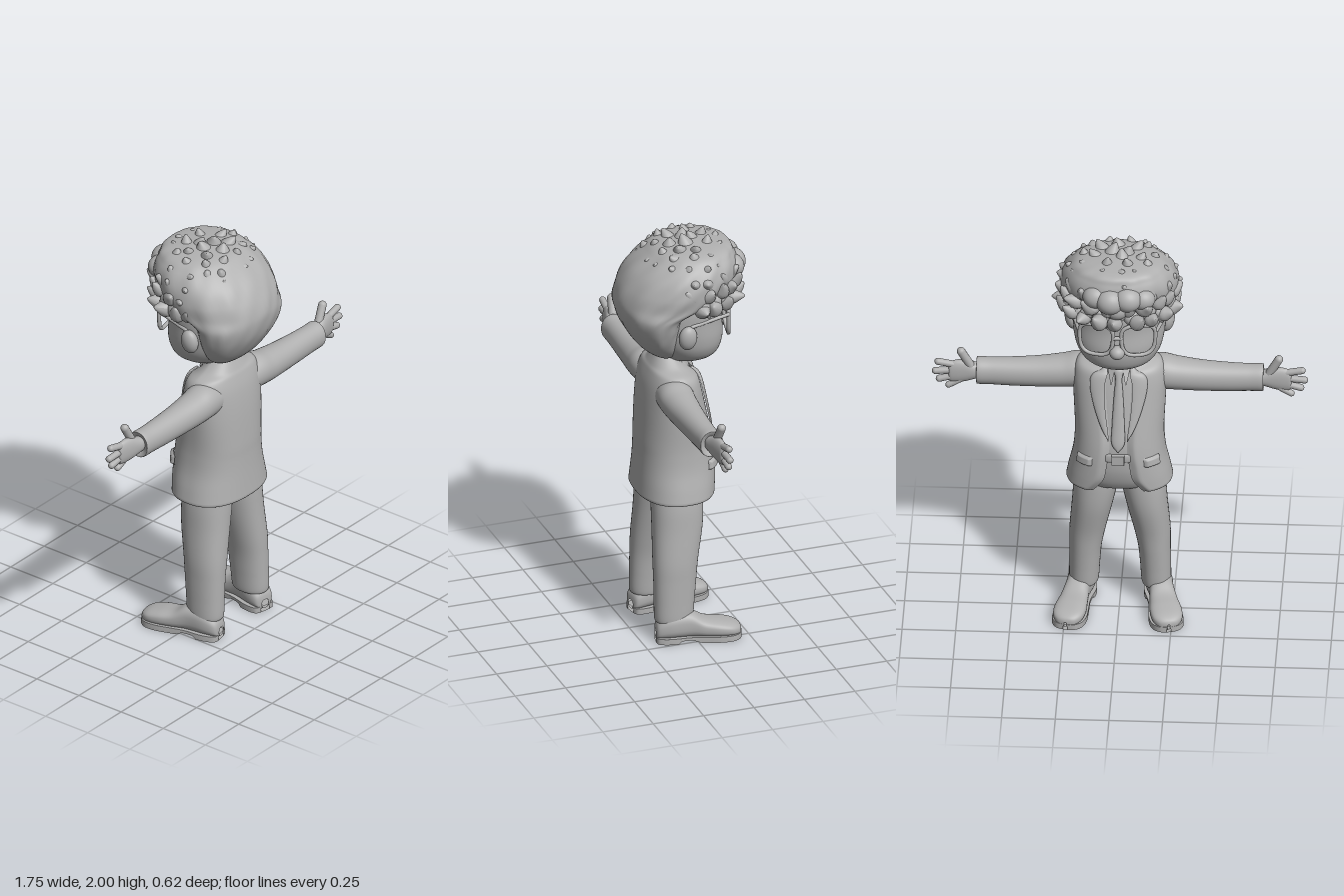
import * as THREE from 'three';

const grey = new THREE.MeshStandardMaterial({ color: 0xb0b0b0, side: THREE.DoubleSide });
grey.name = 'clay grey';

// smooth interpolation through rows of numbers, t in 0..1
function sample(rows, t) {
  const f = THREE.MathUtils.clamp(t, 0, 1) * (rows.length - 1);
  const i = Math.min(Math.floor(f), rows.length - 2), k = f - i;
  const a = rows[Math.max(i - 1, 0)], b = rows[i], c = rows[i + 1], d = rows[Math.min(i + 2, rows.length - 1)];
  return b.map((_, n) => b[n] + 0.5 * k * (c[n] - a[n] + k * (2 * a[n] - 5 * b[n] + 4 * c[n] - d[n] + k * (3 * (b[n] - c[n]) + d[n] - a[n]))));
}
// surface from a point rule; closed surfaces join in u
function grid(fn, nu, nv, closed = true, flip = false) {
  const pos = [], idx = [], w = closed ? nu : nu + 1;
  for (let j = 0; j <= nv; j++) for (let i = 0; i < w; i++) pos.push(...fn(i / nu, j / nv));
  for (let j = 0; j < nv; j++) for (let i = 0; i < nu; i++) {
    const a = j * w + i, b = j * w + (i + 1) % w, c = a + w, d = b + w;
    flip ? idx.push(a, c, b, b, c, d) : idx.push(a, b, c, b, d, c);
  }
  const g = new THREE.BufferGeometry();
  g.setAttribute('position', new THREE.Float32BufferAttribute(pos, 3));
  g.setIndex(idx);
  g.computeVertexNormals();
  return g;
}
const sp = (v, e) => Math.sign(v) * Math.abs(v) ** e;
const sm = THREE.MathUtils.smoothstep;

// upright body from rows [y, halfWidth, zFront, zBack]
function body(rows, nv = 40, e = 0.9, bump = () => 0) {
  return grid((u, v) => {
    const [y, w, f, b] = sample(rows, v), a = u * Math.PI * 2, k = 1 + bump(a, y);
    return [w * k * sp(Math.sin(a), e), y, (f + b) / 2 - (b - f) / 2 * k * sp(Math.cos(a), e)];
  }, 64, nv, true, rows[0][0] > rows[1][0]);
}

// jacket rows: y, halfWidth, zFront, zBack, half opening
const coat = [[1.41, .07, 0, .125, .05], [1.36, .13, -.045, .15, .05], [1.33, .195, -.06, .165, .055],
  [1.26, .217, -.075, .185, .065], [1.15, .215, -.1, .2, .062], [1.0, .208, -.132, .21, .045],
  [.92, .21, -.145, .212, .047], [.85, .218, -.15, .215, .058], [.77, .236, -.148, .22, .075], [.7, .25, -.142, .225, .13]];
const coatEdge = v => { const r = sample(coat, v); return Math.asin(Math.min(.95, (r[4] / r[1]) ** (1 / .85))); };
function coatPoint(a, v, off = 0) {
  const [y, w, f, b] = sample(coat, v), c = Math.cos(a);
  return [(w + off) * sp(Math.sin(a), .85), y - .05 * Math.max(0, c) * sm(y, 1.25, 1.41),
    (f + b) / 2 - ((b - f) / 2 + off) * sp(c, .85)];
}

export function createModel() {
  const model = new THREE.Group();
  model.name = 'boyInSuit';
  const add = (geo, name, parent = model) => {
    const m = new THREE.Mesh(geo, grey);
    m.name = name;
    parent.add(m);
    return m;
  };
  const limb = (a, b, r, name) => {
    const A = new THREE.Vector3(...a), B = new THREE.Vector3(...b), d = B.clone().sub(A);
    const m = add(new THREE.CapsuleGeometry(r, d.length(), 6, 14), name);
    m.position.copy(A).add(B).multiplyScalar(.5);
    m.quaternion.setFromUnitVectors(new THREE.Vector3(0, 1, 0), d.normalize());
  };
  const ball = (p, s, name) => {
    const m = add(new THREE.SphereGeometry(1, 28, 20), name);
    m.position.set(...p);
    m.scale.set(...s);
    return m;
  };

  // jacket with an open front and turned-in edges
  add(grid((u, v) => {
    const a0 = coatEdge(v), curl = Math.max(1 - sm(Math.min(u, 1 - u), 0, .025), sm(v, .98, 1));
    return coatPoint(a0 + u * (2 * Math.PI - 2 * a0), v, -.022 * curl);
  }, 110, 70, false, true), 'jacket');

  // shirt, trouser seat, belt
  add(body([[1.39, .06, 0, .11], [1.34, .12, -.025, .14], [1.25, .19, -.055, .165], [1.1, .19, -.09, .18],
    [.95, .185, -.12, .19], [.86, .19, -.122, .19]]), 'shirt');
  add(body([[.9, .185, -.122, .185], [.8, .2, -.115, .19], [.72, .205, -.09, .185], [.68, .16, -.05, .15], [.665, 0, .05, .06]]), 'trouserSeat');
  add(body([[.91, .18, -.12, .18], [.908, .188, -.133, .188], [.872, .188, -.133, .188], [.87, .18, -.12, .18]], 12), 'belt');
  const buckle = add(new THREE.BoxGeometry(.06, .048, .02), 'beltBuckle');
  buckle.position.set(0, .89, -.14);

  // necktie hanging over the shirt
  const tie = [[1.335, .012, -.045], [1.325, .024, -.055], [1.285, .016, -.066], [1.2, .022, -.085],
    [1.05, .03, -.117], [.97, .03, -.134], [.93, .003, -.136]];
  add(grid((u, v) => {
    const [y, w, z] = sample(tie, v), a = u * Math.PI * 2;
    return [w * Math.sin(a), y, z + .008 - .014 * Math.cos(a)];
  }, 20, 40, true, true), 'necktie');

  // neck and stand collar
  add(body([[1.28, .08, -.03, .12], [1.36, .07, -.03, .1], [1.45, .075, -.03, .1]], 10), 'neck');
  add(grid((u, v) => {
    const a = .35 + u * (Math.PI * 2 - .7), r = .078 + .016 * v, c = Math.cos(a);
    return [r * Math.sin(a), 1.385 - .06 * v - .03 * c, .043 - (r - .002) * c];
  }, 40, 6, false, true), 'shirtCollar');

  for (const s of [1, -1]) {
    const side = s > 0 ? 'left' : 'right';
    const rings = (rows, axis, nv, e, name) => add(grid((u, v) => {
      const [t, p, q, rp, rq] = sample(rows, v), a = u * Math.PI * 2, P = p + rp * sp(Math.sin(a), e), Q = q + rq * sp(Math.cos(a), e);
      return axis === 'x' ? [s * t, P, Q] : [s * P, t, Q];
    }, 40, nv, true, axis === 'x' ? s > 0 : s > 0), name);

    // lapel, collar point and pocket flap lie on the jacket and shirt
    add(grid((u, v) => {
      const t = .08 + v * .48, w = .36 * Math.sin(Math.PI * Math.min(1, .12 + v * .9)) ** .7 + .02;
      const a = coatEdge(t) - .02 + u * w;
      return coatPoint(s * a, t, .004 + .012 * Math.sin(Math.PI * Math.min(1, u * .9 + .1)) ** .4);
    }, 12, 30, false, s < 0), side + 'Lapel');
    add(grid((u, v) => {
      const w = .045 * (1 - v) + .004;
      return [s * (.012 + .02 * v + u * w), 1.365 - .1 * v, -.04 - .04 * v + u * .025 * (1 - v)];
    }, 6, 10, false, s < 0), side + 'CollarPoint');
    add(grid((u, v) => {
      const lift = .004 + .012 * sm(Math.min(u, 1 - u), 0, .12) * sm(v, 0, .2);
      return coatPoint(s * (.52 + u * .5), .705 + v * .075, lift - .008 * sm(v, .9, 1));
    }, 16, 10, false, s < 0), side + 'PocketFlap');

    // sleeve with turned cuff, then the hand
    rings([[.1, 1.24, .09, .07, .075], [.19, 1.247, .09, .083, .085], [.27, 1.237, .09, .078, .08], [.38, 1.228, .088, .073, .07],
      [.5, 1.224, .087, .069, .062], [.6, 1.224, .087, .066, .057], [.66, 1.225, .087, .066, .057], [.667, 1.225, .087, .058, .05],
      [.65, 1.225, .087, .03, .025]], 'x', 60, .95, side + 'Sleeve');
    rings([[.63, 1.225, .085, .034, .03], [.67, 1.226, .083, .04, .033], [.72, 1.228, .078, .057, .029],
      [.77, 1.225, .073, .058, .023], [.795, 1.222, .071, .045, .017], [.8, 1.222, .071, .001, .001]], 'x', 28, .9, side + 'Palm');
    limb([s * .69, 1.245, .075], [s * .74, 1.338, .065], .02, side + 'Thumb');
    const tips = [[.848, 1.278], [.86, 1.227], [.842, 1.185], [.798, 1.153]];
    tips.forEach(([x, y], i) => limb([s * (.765 - i * .007), 1.26 - i * .026, .072], [s * x, y, .068], .0165 - (i === 3 ? .001 : 0), side + 'Finger'));

    // trouser leg
    rings([[.76, .1, .055, .1, .12], [.66, .112, .055, .103, .123], [.55, .127, .06, .096, .12], [.4, .15, .077, .085, .108],
      [.3, .16, .083, .076, .102], [.2, .165, .088, .072, .097], [.11, .168, .092, .069, .092], [.095, .168, .092, .06, .08]],
    'y', 50, .92, side + 'TrouserLeg');

    // shoe: upper and sole share one outline, toes turned out
    const foot = [[0, .02, .06], [.012, .05, .1], [.07, .063, .14], [.16, .058, .142], [.23, .066, .105],
      [.3, .075, .092], [.36, .069, .078], [.395, .042, .06], [.405, .006, .04]];
    const shoe = (rule, name) => add(grid((u, v) => {
      const [l, w, h] = sample(foot, v), a = u * Math.PI * 2;
      const [x, y] = rule(a, w, h, l), c = Math.cos(.19), n = Math.sin(.19);
      return [s * (.165 + l * n + x * c), y, .182 - l * c + x * n];
    }, 36, 44, true, s > 0), name);
    shoe((a, w, h) => [w * sp(Math.cos(a), .8), .015 + (h - .015) * (.5 + .5 * sp(Math.sin(a), .75))], side + 'Shoe');
    shoe((a, w, h, l) => [(w + .005) * sp(Math.cos(a), .4),
      Math.sin(a) > 0 ? .028 : .014 * sm(l, .1, .12) * (1 - sm(l, .16, .22))], side + 'ShoeSole');

    // ear
    const ear = ball([s * .222, 1.562, .04], [.034, .062, .044], side + 'Ear');
    ear.rotation.z = -s * .15;

    // spectacle rim and temple arm
    const rim = [];
    for (let i = 0; i < 16; i++) {
      const a = i / 16 * Math.PI * 2, x = .098 + sp(Math.cos(a), .65) * (.078 + .008 * Math.sin(a));
      rim.push(new THREE.Vector3(s * x, 1.59 + .08 * sp(Math.sin(a), .65), -.212 + 1.1 * x * x));
    }
    add(new THREE.TubeGeometry(new THREE.CatmullRomCurve3(rim, true), 72, .0095, 10, true), side + 'SpectacleRim');
    limb([s * .183, 1.632, -.175], [s * .226, 1.618, .02], .0085, side + 'SpectacleArm');
  }
  limb([-.02, 1.605, -.213], [.02, 1.605, -.213], .009, 'spectacleBridge');

  // head and nose
  add(body([[1.368, .002, -.05, -.04], [1.378, .09, -.12, .06], [1.41, .155, -.168, .1], [1.46, .192, -.19, .14], [1.52, .21, -.196, .17],
    [1.6, .218, -.188, .19], [1.7, .22, -.185, .19], [1.8, .18, -.15, .15], [1.85, .02, -.02, .02]], 50, .95), 'head');
  ball([0, 1.527, -.213], [.036, .033, .036], 'nose');

  // hair mass with soft combed ridges
  add(body([[1.385, .03, .06, .1], [1.41, .095, .03, .145], [1.46, .158, .03, .205], [1.52, .203, .03, .25], [1.59, .236, .02, .287],
    [1.66, .258, -.01, .305], [1.715, .27, -.17, .305], [1.78, .28, -.235, .282], [1.85, .268, -.262, .235],
    [1.91, .23, -.25, .165], [1.95, .165, -.215, .095], [1.967, .002, -.06, -.055]], 90, .95,
  (a, y) => .016 * Math.sin(a * 13 + y * 16) * Math.sin(y * 21 + a * 2) * sm(y, 1.42, 1.6)), 'hairMass');

  // pointed curls
  let seed = 7;
  const rnd = () => (seed = seed * 16807 % 2147483647) / 2147483647;
  const curl = new THREE.SphereGeometry(1, 16, 14), cp = curl.attributes.position;
  for (let i = 0; i < cp.count; i++) {
    const y = cp.getY(i), k = y > 0 ? 1 - .45 * y : 1;
    cp.setXYZ(i, cp.getX(i) * k + .5 * Math.max(0, y) ** 2, y, cp.getZ(i) * k);
  }
  curl.computeVertexNormals();
  const up = new THREE.Vector3(0, 1, 0);
  const hair = new THREE.Group();
  hair.name = 'curls';
  model.add(hair);
  const addCurl = (p, dir, r, len, twist) => {
    const m = add(curl, 'curl', hair);
    m.position.copy(p);
    m.quaternion.setFromUnitVectors(up, dir.normalize());
    m.rotateY(twist);
    m.scale.set(r, len, r);
  };
  for (let row = 0; row < 7; row++) {
    const p = .12 + row * .255, n = Math.max(3, Math.round(Math.sin(p) * 19));
    for (let i = 0; i < n; i++) {
      const a = (i + (row % 2) * .5 + (rnd() - .5) * .4) / n * Math.PI * 2;
      const N = new THREE.Vector3(sp(Math.sin(p), .9) * Math.sin(a), sp(Math.cos(p), .85), -sp(Math.sin(p), .9) * Math.cos(a));
      const P = new THREE.Vector3(N.x * .257, 1.735 + N.y * .215, -.035 + N.z * .222);
      if (P.z > .06 && P.y < 1.8) continue;
      addCurl(P, N.clone().add(new THREE.Vector3((rnd() - .5) * .5, .45, .15)), .033 + rnd() * .01, .045 + rnd() * .012, rnd() * 6.3);
    }
  }
  // fringe over the forehead and rolled quiff
  for (let i = 0; i < 11; i++) {
    const a = (i - 5) * .29, P = new THREE.Vector3(.245 * Math.sin(a), 1.715 + .02 * (i % 2), -.005 - .215 * Math.cos(a));
    addCurl(P, new THREE.Vector3(Math.cos(a) * (i % 2 ? 1 : -1), -.7, -.3), .036, .056, i * 1.3);
  }
  [[-.05, 1.84, -.245, .06], [.03, 1.83, -.25, .062], [.1, 1.84, -.225, .055], [-.12, 1.83, -.22, .052], [0, 1.785, -.24, .052]]
    .forEach(([x, y, z, r]) => ball([x, y, z], [r * 1.1, r, r], 'quiffRoll'));
  return model;
}
